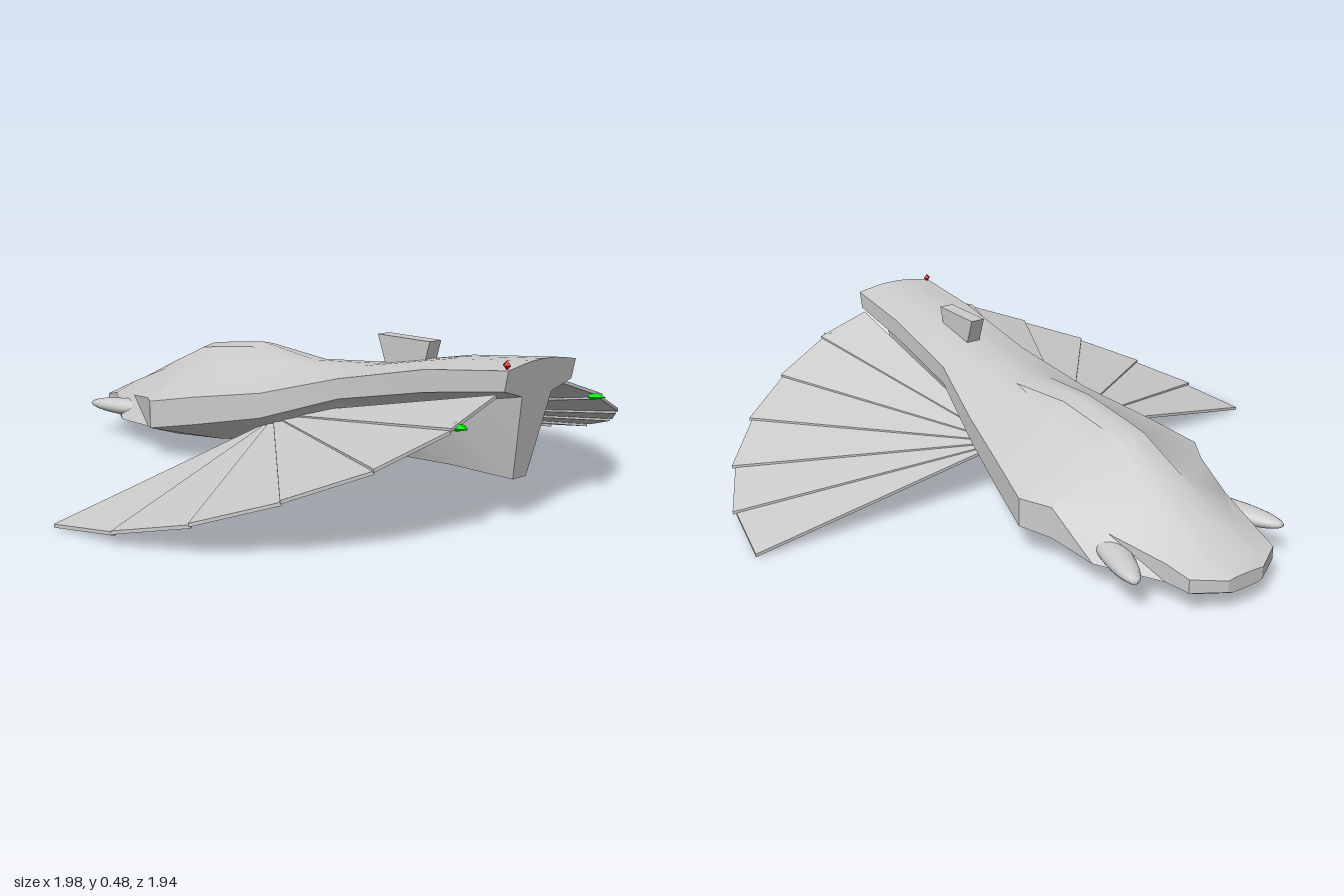
import * as THREE from 'three';
import { toCreasedNormals } from 'three/addons/utils/BufferGeometryUtils.js';

const mat = (color, extra = {}) => new THREE.MeshStandardMaterial({ color, ...extra });
const grey = mat(0xcccccc);

function addMesh(parent, name, geometry, material = grey) {
  const mesh = new THREE.Mesh(geometry, material);
  mesh.name = name;
  parent.add(mesh);
  return mesh;
}

// Hull stations, nose to tail:
// z, top y, shoulder y, half width, upper edge y, lower edge y, belly x, belly y, keel y
const STATIONS = [
  [-0.975, 0.112, 0.111, 0.065, 0.108, 0.072, 0.05, 0.066, 0.065],
  [-0.92, 0.145, 0.138, 0.16, 0.118, 0.075, 0.12, 0.06, 0.058],
  [-0.84, 0.18, 0.17, 0.175, 0.135, 0.078, 0.14, 0.06, 0.055],
  [-0.65, 0.267, 0.242, 0.226, 0.161, 0.081, 0.18, 0.06, 0.051],
  [-0.47, 0.35, 0.29, 0.293, 0.188, 0.088, 0.21, 0.063, 0.052],
  [-0.38, 0.363, 0.305, 0.347, 0.197, 0.105, 0.23, 0.067, 0.053],
  [-0.2, 0.385, 0.325, 0.302, 0.232, 0.14, 0.2, 0.078, 0.056],
  [0.06, 0.355, 0.34, 0.235, 0.275, 0.195, 0.16, 0.125, 0.09],
  [0.34, 0.38, 0.37, 0.165, 0.352, 0.29, 0.1, 0.22, 0.115],
  [0.68, 0.445, 0.436, 0.155, 0.425, 0.36, 0.075, 0.32, 0.13],
  [0.968, 0.475, 0.468, 0.148, 0.458, 0.4, 0.065, 0.375, 0.13],
];

// Full cross-section at a station, from the top centre round by +x
function hullRing([z, top, shoulder, w, upper, lower, bellyX, bellyY, keel]) {
  // the lower edge swells into a lip under the cheek pods
  const lip = 0.055 * Math.max(0, 1 - Math.abs(z + 0.65) / 0.17);
  const half = [
    [Math.min(0.05, w * 0.4), THREE.MathUtils.lerp(top, shoulder, 0.2)],
    [Math.min(0.09, w * 0.7), shoulder],
    [w, upper], [w + lip, lower], [bellyX, bellyY], [bellyX * 0.45, keel],
  ];
  const mirrored = half.map(([x, y]) => [-x, y]).reverse();
  // the tail end leans forward toward the keel
  const lean = z > 0.9 ? 0.2 : 0;
  return [[0, top], ...half, [0, keel], ...mirrored].map(([x, y]) => [x, y, z - (top - y) * lean]);
}

function hullGeometry() {
  const rings = STATIONS.map(hullRing);
  const n = rings[0].length;
  const index = [];
  for (let i = 0; i < rings.length - 1; i++) {
    for (let j = 0; j < n; j++) {
      const a = i * n + j, b = i * n + (j + 1) % n;
      index.push(a, a + n, b, b, a + n, b + n);
    }
  }
  // end caps, facing -z at the nose and +z at the tail
  const cap = (r, facing) => {
    const pts = rings[r].map(([x, y]) => new THREE.Vector2(x, y));
    for (const tri of THREE.ShapeUtils.triangulateShape(pts, [])) {
      const [a, b, c] = tri.map((k) => pts[k]);
      const turn = b.clone().sub(a).cross(c.clone().sub(a));
      if (turn * facing < 0) tri.reverse();
      index.push(...tri.map((k) => r * n + k));
    }
  };
  cap(0, -1);
  cap(rings.length - 1, 1);
  const g = new THREE.BufferGeometry();
  g.setAttribute('position', new THREE.Float32BufferAttribute(rings.flat(2), 3));
  g.setIndex(index);
  return toCreasedNormals(g, 0.5);
}

// Outer corners of the fan blades on the left side, leading edge first
const TIPS = [
  [0.99, 0.012, 0.075], [0.95, 0.038, 0.315], [0.86, 0.09, 0.53],
  [0.715, 0.162, 0.715], [0.53, 0.237, 0.855], [0.33, 0.322, 0.93], [0.15, 0.39, 0.93],
];

// Thin triangular plate between three corners; side -1 mirrors it across x
function bladeGeometry(corners, side) {
  const ordered = side > 0 ? corners : [corners[0], corners[2], corners[1]];
  const pos = [0, -0.01].flatMap((drop) => ordered.flatMap(([x, y, z]) => [x * side, y + drop, z]));
  const g = new THREE.BufferGeometry();
  g.setAttribute('position', new THREE.Float32BufferAttribute(pos, 3));
  g.setIndex([0, 2, 1, 3, 4, 5, 0, 1, 4, 0, 4, 3, 1, 2, 5, 1, 5, 4, 2, 0, 3, 2, 3, 5]);
  return toCreasedNormals(g, 0.3);
}

export function createModel() {
  const model = new THREE.Group();
  model.name = 'fanWingShip';
  addMesh(model, 'hull', hullGeometry());

  // dorsal block: overhanging its foot front and back
  const profile = new THREE.Shape([[0.58, 0.477], [0.37, 0.477], [0.41, 0.37], [0.555, 0.39]]
    .map(([z, y]) => new THREE.Vector2(-z, y)));
  const block = new THREE.ExtrudeGeometry(profile, { depth: 0.05, bevelEnabled: false });
  block.translate(0, 0, -0.025).rotateY(Math.PI / 2);
  addMesh(model, 'dorsalBlock', block);

  for (const side of [1, -1]) {
    const label = side > 0 ? 'left' : 'right';

    // fan wing, each blade stepping slightly past its neighbour
    const wing = new THREE.Group();
    wing.name = `${label}Wing`;
    model.add(wing);
    for (let i = 0; i < TIPS.length - 1; i++) {
      const [x, y, z] = TIPS[i];
      const step = i ? 1 : 0;
      const pivot = [0.15, 0.172 + i * 0.004, 0.025];
      const lead = [x * (1 + 0.012 * step), y + 0.006 * step, z * (1 + 0.004 * step)];
      addMesh(wing, `blade${i + 1}`, bladeGeometry([pivot, lead, TIPS[i + 1]], side));
    }

    // cheek pod beside the nose
    const pod = addMesh(model, `${label}CheekPod`, new THREE.SphereGeometry(1, 24, 12));
    pod.scale.set(0.045, 0.03, 0.19);
    pod.position.set(side * 0.222, 0.113, -0.665);
    pod.rotation.y = -side * 0.32;

    // light at the trailing edge of the wing
    const cone = new THREE.ConeGeometry(0.03, 0.045, 4).rotateX(Math.PI / 2).scale(1, 0.45, 1);
    const light = addMesh(model, `${label}Light`, cone, mat(0x00ff00, { flatShading: true }));
    light.position.set(side * 0.302, 0.325, 0.943);
    light.rotation.y = side * 0.15;
  }

  // single tail marker
  const marker = addMesh(model, 'tailMarker', new THREE.OctahedronGeometry(0.014), mat(0xcc0000, { flatShading: true }));
  marker.position.set(-0.137, 0.47, 0.95);
  return model;
}
